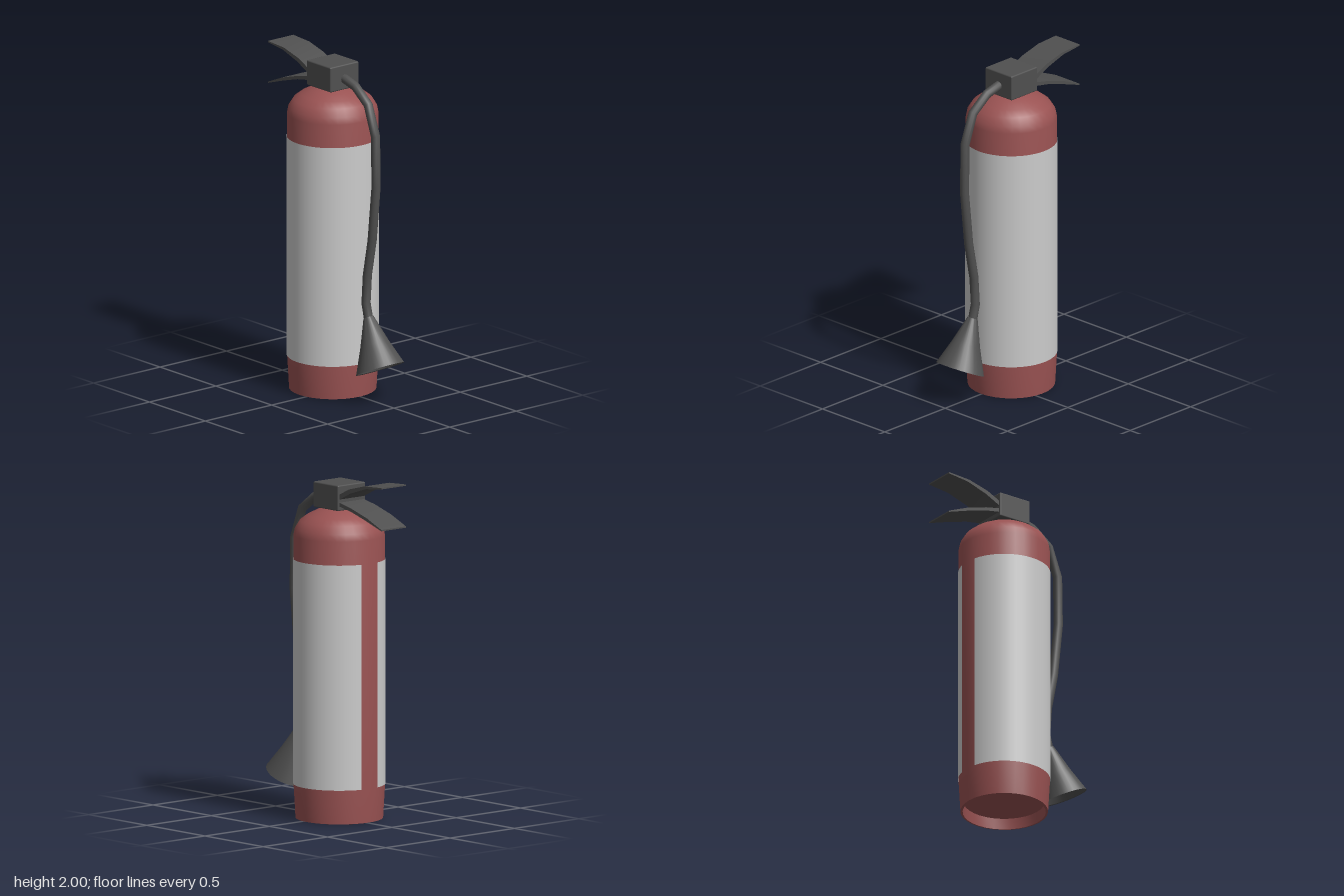
import * as THREE from 'three';
import { toCreasedNormals } from 'three/addons/utils/BufferGeometryUtils.js';
import { RoundedBoxGeometry } from 'three/addons/geometries/RoundedBoxGeometry.js';

const AXIS_X = -0.048; // cylinder centre line

const material = (color, side = THREE.FrontSide) => new THREE.MeshStandardMaterial({ color, side });

const vec2 = (points) => points.map(([x, y]) => new THREE.Vector2(x, y));

export function createModel() {
  const model = new THREE.Group();
  const red = material(0x995252);
  const dark = material(0x505050);
  const pale = material(0xcccccc, THREE.DoubleSide);

  const add = (name, geometry, mat, x = 0, y = 0, z = 0) => {
    const mesh = new THREE.Mesh(geometry, mat);
    mesh.name = name;
    mesh.position.set(x, y, z);
    model.add(mesh);
    return mesh;
  };

  // Tank: recessed floor, tapered foot, straight wall and domed shoulder
  const tank = new THREE.LatheGeometry(vec2([
    [0, 0.075], [0.235, 0.07], [0.24, 0.005], [0.253, 0.008], [0.264, 0.2],
    [0.264, 1.66], [0.256, 1.7], [0.228, 1.745], [0.185, 1.777],
    [0.13, 1.805], [0.075, 1.824], [0, 1.835],
  ]), 32);
  add('tank', toCreasedNormals(tank, 0.7), red, AXIS_X);

  // Label wrap, leaving a narrow gap on the handle side
  const gap = 0.23;
  const label = new THREE.LatheGeometry(
    vec2([[0.2665, 0.207], [0.2665, 1.522]]), 48, -Math.PI / 2 + gap, 2 * Math.PI - 2 * gap);
  add('label', label, pale, AXIS_X);

  // Valve block
  add('valveBlock', new RoundedBoxGeometry(0.215, 0.15, 0.214, 2, 0.008), dark, AXIS_X, 1.895);

  // Curved, tapering levers
  const lever = (name, outline) => {
    const geometry = new THREE.ExtrudeGeometry(new THREE.Shape(vec2(outline)), { depth: 0.192, bevelEnabled: false });
    add(name, toCreasedNormals(geometry, 0.6), dark, 0, 0, -0.096);
  };
  lever('upperLever', [
    [-0.515, 1.992], [-0.38, 1.977], [-0.25, 1.935], [-0.155, 1.888], [-0.12, 1.87],
    [-0.12, 1.9], [-0.155, 1.918], [-0.24, 1.958], [-0.37, 1.992], [-0.515, 2.0],
  ]);
  lever('lowerLever', [
    [-0.515, 1.747], [-0.38, 1.792], [-0.25, 1.83], [-0.155, 1.847], [-0.12, 1.85],
    [-0.12, 1.875], [-0.155, 1.87], [-0.25, 1.85], [-0.39, 1.808], [-0.515, 1.755],
  ]);

  // Hose: one tube section per path point, so the bends stay angular
  const path = [
    [0.03, 1.89], [0.07, 1.883], [0.156, 1.86], [0.27, 1.775], [0.335, 1.6],
    [0.34, 1.3], [0.305, 0.97], [0.262, 0.75], [0.25, 0.58], [0.273, 0.49],
  ];
  const curve = new THREE.CatmullRomCurve3(path.map(([x, y]) => new THREE.Vector3(x, y, 0)));
  curve.getPointAt = (t, target) => curve.getPoint(t, target);
  curve.getTangentAt = (t, target) => curve.getTangent(t, target);
  add('hose', new THREE.TubeGeometry(curve, path.length - 1, 0.027, 12), dark);

  // Horn: hollow flared cone, slanted from its mouth up to the hose end
  const horn = new THREE.LatheGeometry(vec2([
    [0, 0.9], [0.022, 0.88], [0.075, 0.45], [0.136, 0.01],
    [0.144, 0], [0.085, 0.48], [0.03, 1],
  ]), 28);
  horn.applyMatrix4(new THREE.Matrix4().makeBasis(
    new THREE.Vector3(0.906, 0.423, 0),
    new THREE.Vector3(-0.104, 0.288, 0),
    new THREE.Vector3(0, 0, 1)));
  add('horn', toCreasedNormals(horn, 0.7), dark, 0.376, 0.212);

  return model;
}
